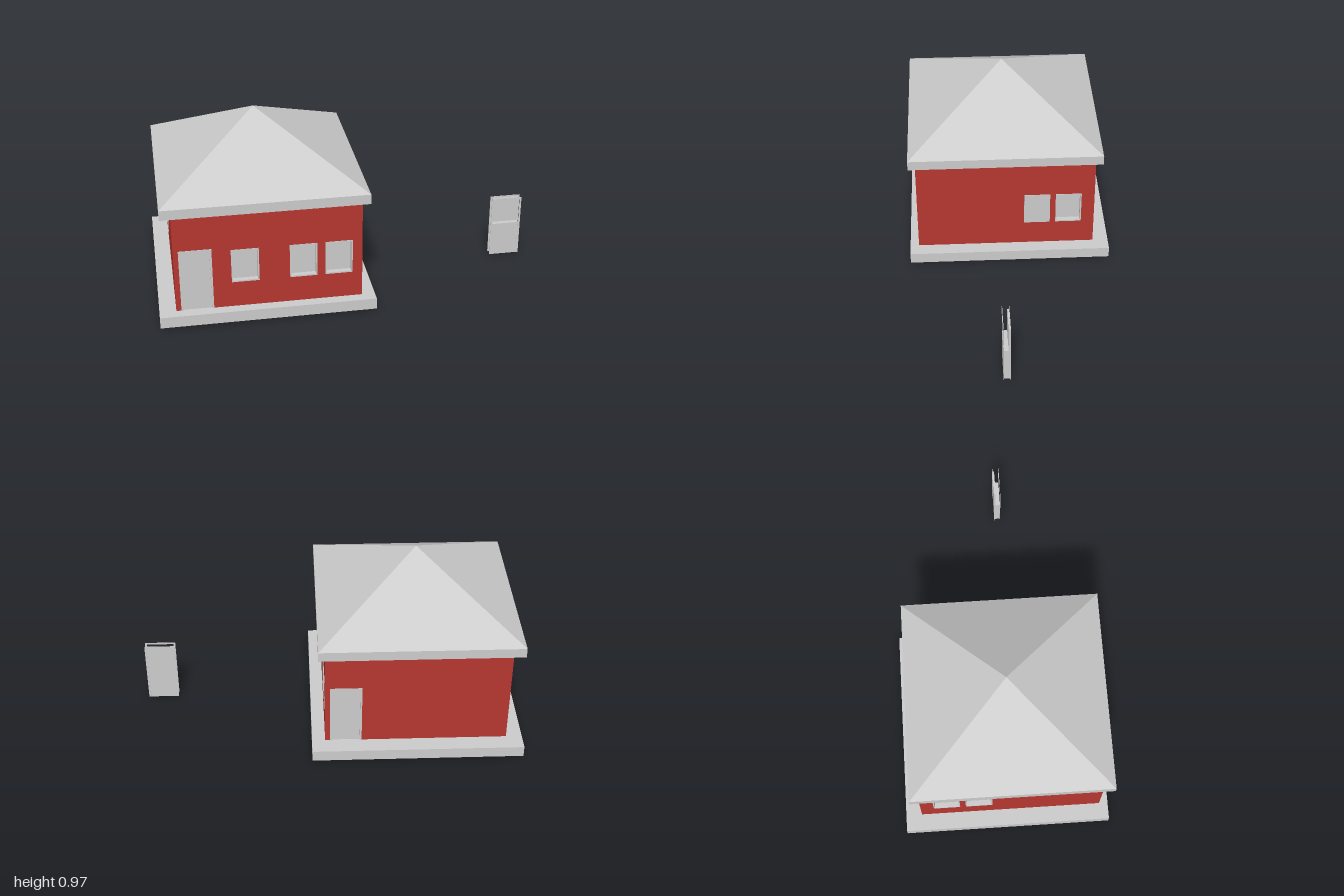
import * as THREE from 'three';

const grey = new THREE.MeshStandardMaterial({ color: 0xcccccc, flatShading: true });
const red = new THREE.MeshStandardMaterial({ color: 0xb63630, flatShading: true });

const WALL = { bottom: 0.08, top: 0.62, thick: 0.04, cx: -0.44, cz: 0.019, width: 0.95, depth: 0.958 };
const WINDOW = { w: 0.14, h: 0.185, sill: 0.22 };
const DOOR = { w: 0.165, h: 0.34 };

function mesh(parent, name, geometry, material, x = 0, y = 0, z = 0) {
  const m = new THREE.Mesh(geometry, material);
  m.name = name;
  m.position.set(x, y, z);
  parent.add(m);
  return m;
}

function box(parent, name, w, h, d, x, y, z) {
  return mesh(parent, name, new THREE.BoxGeometry(w, h, d), grey, x, y, z);
}

function rect(path, x0, y0, x1, y1) {
  path.moveTo(x0, y0).lineTo(x1, y0).lineTo(x1, y1).lineTo(x0, y1).closePath();
  return path;
}

// Rectangular border standing on y = 0; without a sill it is open at the foot
function frameGeometry(w, h, border, depth, sill) {
  const s = new THREE.Shape();
  const a = w / 2, b = a - border;
  if (sill) {
    rect(s, -a, 0, a, h);
    s.holes.push(rect(new THREE.Path(), -b, border, b, h - border));
  } else {
    s.moveTo(-a, 0).lineTo(-b, 0).lineTo(-b, h - border).lineTo(b, h - border)
      .lineTo(b, 0).lineTo(a, 0).lineTo(a, h).lineTo(-a, h).closePath();
  }
  return new THREE.ExtrudeGeometry(s, { depth, bevelEnabled: false });
}

// Window lining with a recessed or flush pane
function addWindow(parent, u, flush) {
  const g = new THREE.Group();
  g.name = 'window';
  g.position.set(u, WINDOW.sill, 0);
  const t = WALL.thick;
  mesh(g, 'windowFrame', frameGeometry(WINDOW.w, WINDOW.h, 0.007, t + 0.002, true), grey, 0, 0, -t);
  if (flush) box(g, 'pane', WINDOW.w, WINDOW.h, 0.006, 0, WINDOW.h / 2, 0);
  else box(g, 'pane', WINDOW.w - 0.01, WINDOW.h - 0.01, 0.008, 0, WINDOW.h / 2, -0.03);
  parent.add(g);
}

// Closed door with a thin surround
function addDoor(parent, u) {
  const g = new THREE.Group();
  g.name = 'door';
  g.position.set(u, WALL.bottom, 0);
  mesh(g, 'doorFrame', frameGeometry(DOOR.w, DOOR.h, 0.01, WALL.thick + 0.003, false), grey, 0, 0, -WALL.thick);
  box(g, 'doorLeaf', DOOR.w - 0.02, DOOR.h - 0.01, 0.03, 0, (DOOR.h - 0.01) / 2, -0.02);
  parent.add(g);
}

// Wall facing local +z, with openings placed along its width
function addWall(parent, { name, length, x, z, turn, doorAt, windows = [], flush = -1 }) {
  const g = new THREE.Group();
  g.name = name;
  const { bottom, top, thick } = WALL, a = length / 2;
  const s = new THREE.Shape();
  s.moveTo(-a, bottom);
  if (doorAt !== undefined) {
    const l = doorAt - DOOR.w / 2, r = doorAt + DOOR.w / 2, h = bottom + DOOR.h;
    s.lineTo(l, bottom).lineTo(l, h).lineTo(r, h).lineTo(r, bottom);
    addDoor(g, doorAt);
  }
  s.lineTo(a, bottom).lineTo(a, top).lineTo(-a, top).closePath();
  windows.forEach((u, i) => {
    const w = WINDOW.w / 2;
    s.holes.push(rect(new THREE.Path(), u - w, WINDOW.sill, u + w, WINDOW.sill + WINDOW.h));
    addWindow(g, u, i === flush);
  });
  mesh(g, 'wallPanel', new THREE.ExtrudeGeometry(s, { depth: thick, bevelEnabled: false }), red, 0, 0, -thick);
  g.position.set(x, 0, z);
  g.rotation.y = turn;
  parent.add(g);
}

// Free-standing unit: two thin frames holding an upper and a lower panel
function addLooseUnit(parent) {
  const g = new THREE.Group();
  g.name = 'looseDoor';
  g.position.set(0.9175, 0, 0);
  for (const z of [0.041, 0.076])
    mesh(g, 'thinFrame', frameGeometry(DOOR.w, 0.343, 0.01, 0.002, false), grey, 0, 0, z);
  box(g, 'backPanel', 0.145, 0.333, 0.009, 0, 0.1665, 0.0475);
  box(g, 'lowerPanel', 0.145, 0.19, 0.025, 0, 0.095, 0.0645);
  parent.add(g);
}

export function createModel() {
  const model = new THREE.Group();
  model.name = 'house';
  const { cx, cz, width, depth, thick } = WALL;

  box(model, 'foundation', 1.104, 0.06, 1.09, -0.448, 0.045, 0);

  // Walls
  const sideLength = depth - 2 * thick;
  addWall(model, { name: 'frontWall', length: width, x: cx, z: cz + depth / 2, turn: 0,
    doorAt: -0.367, windows: [-0.12, 0.175, 0.355] });
  addWall(model, { name: 'backWall', length: width, x: cx, z: cz - depth / 2, turn: Math.PI, doorAt: -0.367 });
  addWall(model, { name: 'leftWall', length: sideLength, x: cx + width / 2, z: cz, turn: Math.PI / 2,
    windows: [0.169, 0.339], flush: 0 });
  addWall(model, { name: 'rightWall', length: sideLength, x: cx - width / 2, z: cz, turn: -Math.PI / 2,
    windows: [-0.169, -0.339] });

  // Eaves slab and four-sided roof
  box(model, 'eaves', 1.04, 0.052, 1.03, -0.45, 0.645, 0.02);
  const roof = new THREE.ConeGeometry(Math.SQRT1_2, 0.297, 4, 1);
  roof.rotateY(Math.PI / 4).scale(1.04, 1, 1.03);
  mesh(model, 'roof', roof, grey, -0.45, 0.671 + 0.1485, 0.02);

  addLooseUnit(model);
  return model;
}
